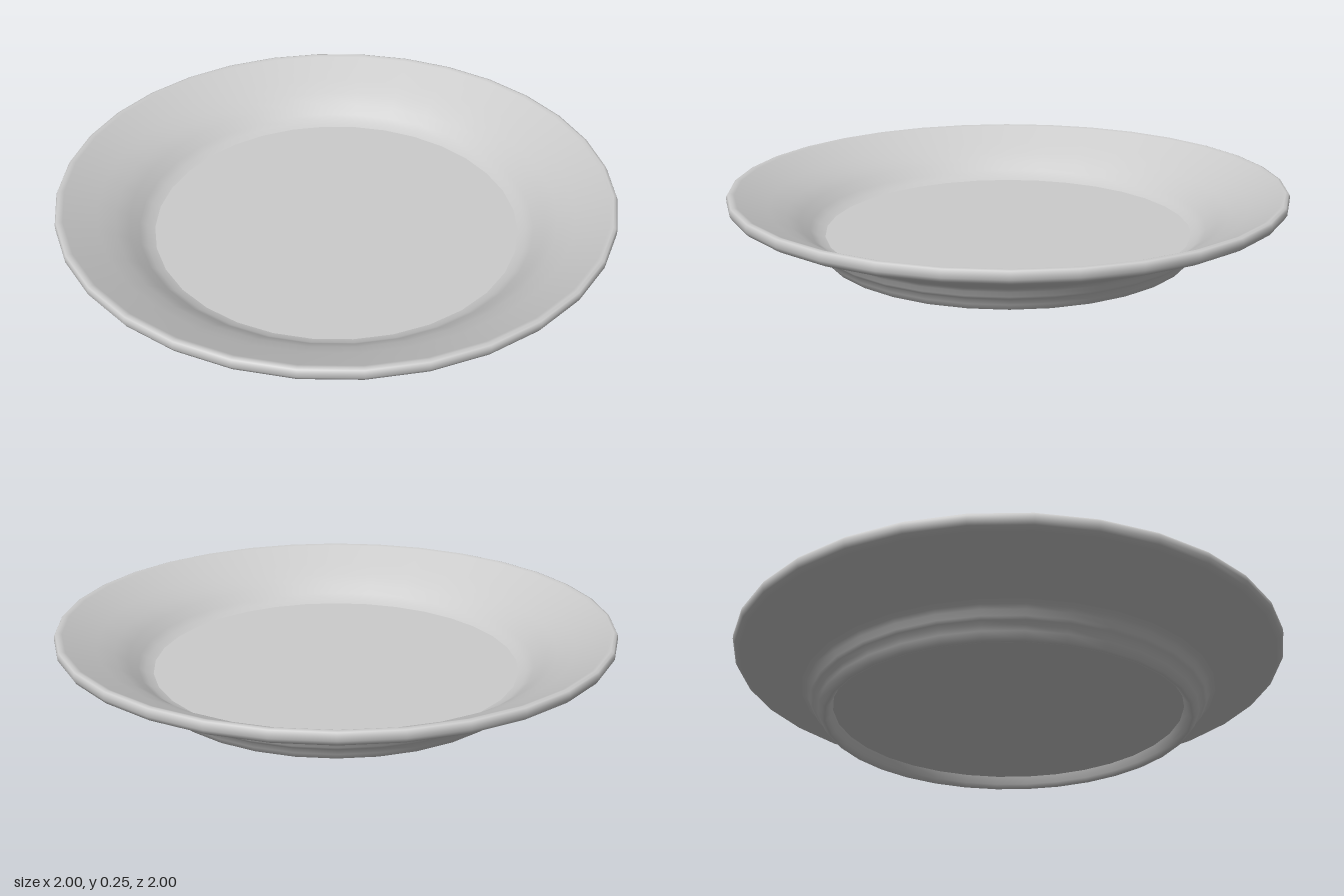
import * as THREE from 'three';

const SEGMENTS = 32;

export function createModel() {
  const plate = new THREE.Group();
  plate.name = 'plate';
  const material = new THREE.MeshStandardMaterial({ color: 0xcccccc });

  // Revolves a [radius, height] profile; each part keeps its own smooth normals.
  function turned(name, profile) {
    const points = profile.map(([r, y]) => new THREE.Vector2(r, y));
    const mesh = new THREE.Mesh(new THREE.LatheGeometry(points, SEGMENTS), material);
    mesh.name = name;
    plate.add(mesh);
  }

  // Recessed underside inside the foot ring
  turned('underside', [[0, 0.045], [0.635, 0.045]]);

  // Foot ring with its inner wall and the stepped outer moulding
  turned('footRing', [
    [0.635, 0.045], [0.645, 0.015], [0.655, 0.002], [0.662, 0], [0.672, 0.003],
    [0.688, 0.025], [0.694, 0.042], [0.708, 0.052], [0.716, 0.062],
    [0.724, 0.08], [0.735, 0.093], [0.75, 0.102],
  ]);

  // Flared underside of the rim, rounded lip and concave inner wall
  turned('rim', [
    [0.75, 0.102], [0.86, 0.148], [0.975, 0.196], [0.992, 0.206], [1, 0.22],
    [1, 0.236], [0.995, 0.245], [0.985, 0.248], [0.972, 0.243],
    [0.92, 0.217], [0.86, 0.189], [0.8, 0.158], [0.755, 0.128],
    [0.72, 0.098], [0.695, 0.08], [0.667, 0.07],
  ]);

  // Flat eating surface
  turned('floor', [[0.667, 0.07], [0, 0.07]]);

  return plate;
}
